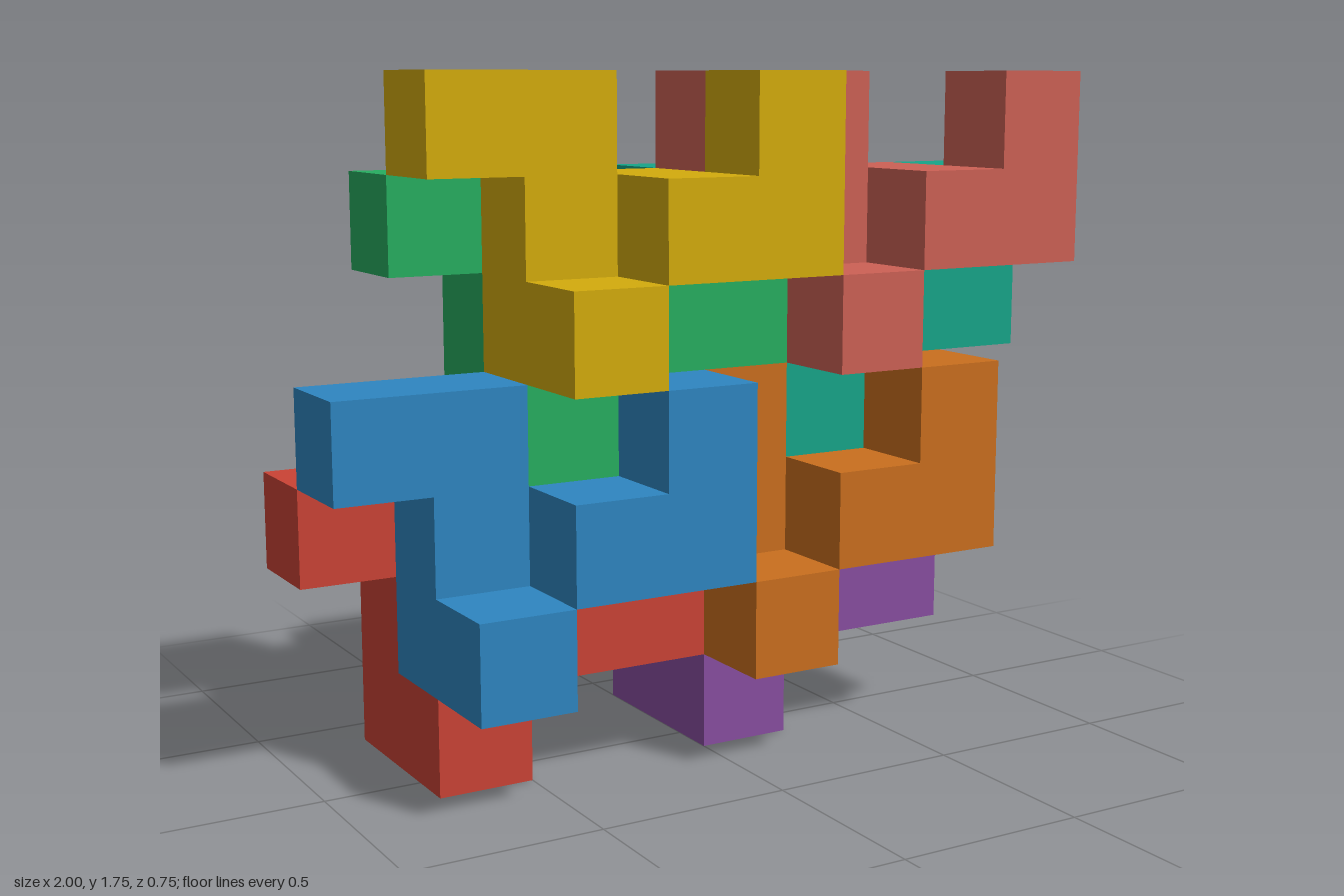
import * as THREE from 'three';
import { mergeGeometries } from 'three/addons/utils/BufferGeometryUtils.js';

const UNIT = 0.25;

// Cubes of one interlocking piece, as [x, y, z] grid cells
const CELLS = [
  [0, 2, 0], [1, 2, 0], [1, 1, 0], [2, 1, 0], [1, 0, 0],
  [1, 0, 1], [2, 1, 1], [3, 1, 1], [3, 2, 1],
];

// Every piece is the same shape, shifted on the grid
const PIECES = [
  ['redPiece', 0xcb4335, [0, 0, 0]],
  ['purplePiece', 0x884ea0, [3, 0, 0]],
  ['greenPiece', 0x27ae60, [1, 3, 0]],
  ['tealPiece', 0x17a589, [4, 3, 0]],
  ['bluePiece', 0x2e86c1, [0, 1, 1]],
  ['orangePiece', 0xca6f1e, [3, 1, 1]],
  ['yellowPiece', 0xd4ac0d, [1, 4, 1]],
  ['salmonPiece', 0xcd6155, [4, 4, 1]],
];

const DIRECTIONS = [
  [1, 0, 0], [-1, 0, 0], [0, 1, 0], [0, -1, 0], [0, 0, 1], [0, 0, -1],
];

// Outer skin of the piece: a square wherever a cube has no neighbour
function pieceGeometry() {
  const filled = new Set(CELLS.map(String));
  const forward = new THREE.Vector3(0, 0, 1);
  const faces = [];
  for (const cell of CELLS) {
    for (const dir of DIRECTIONS) {
      if (filled.has(String(cell.map((c, i) => c + dir[i])))) continue;
      const turn = new THREE.Quaternion().setFromUnitVectors(forward, new THREE.Vector3(...dir));
      const centre = cell.map((c, i) => (c + 0.5 + dir[i] / 2) * UNIT);
      faces.push(new THREE.PlaneGeometry(UNIT, UNIT).applyQuaternion(turn).translate(...centre));
    }
  }
  return mergeGeometries(faces);
}

export function createModel() {
  const model = new THREE.Group();
  model.name = 'interlockingBlocks';
  const geometry = pieceGeometry();

  for (const [name, color, [x, y, z]] of PIECES) {
    const piece = new THREE.Mesh(geometry, new THREE.MeshStandardMaterial({ color }));
    piece.name = name;
    // The grid is 8 cells wide and 3 deep, centred on the origin
    piece.position.set((x - 4) * UNIT, y * UNIT, (z - 1.5) * UNIT);
    model.add(piece);
  }
  return model;
}
